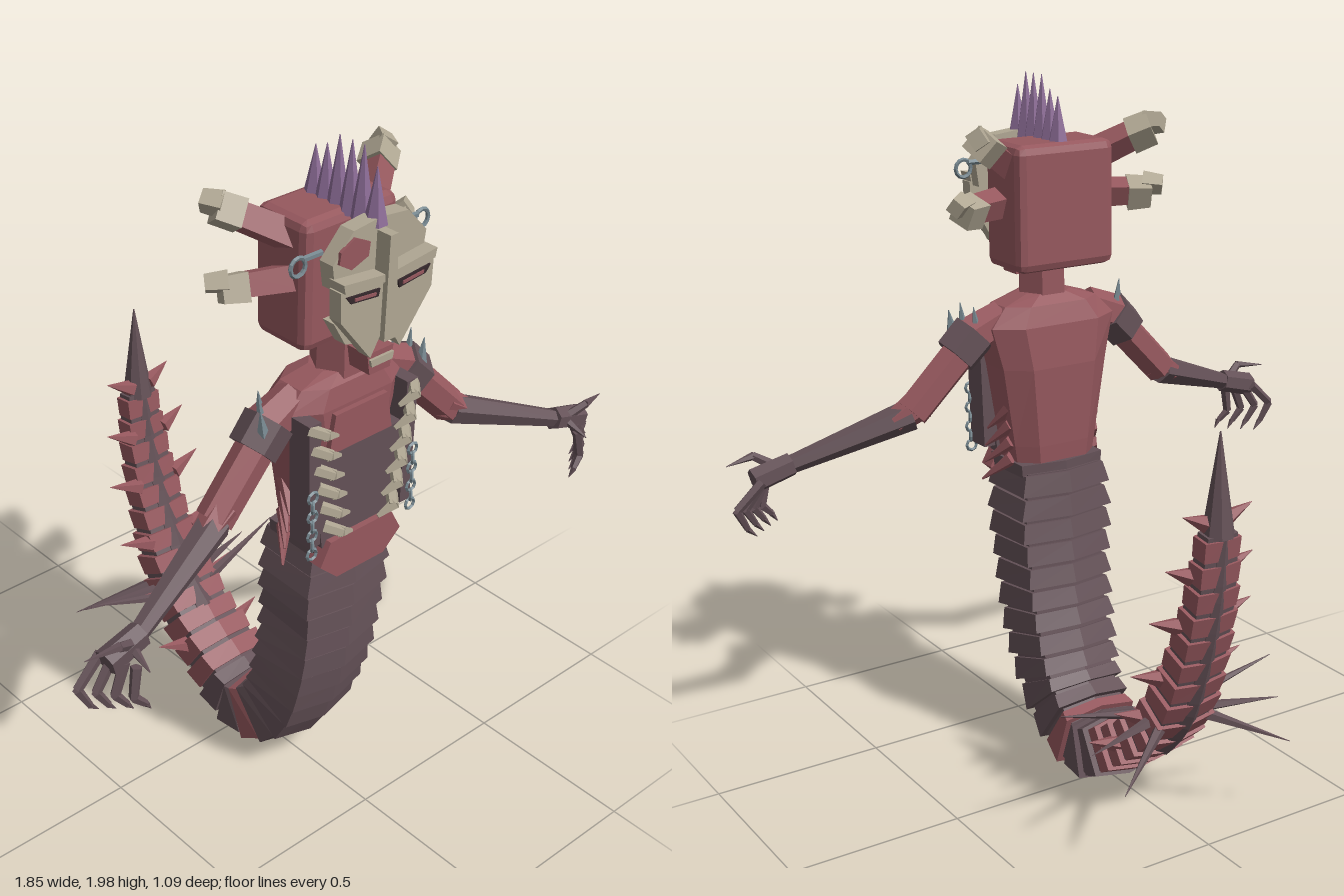
import * as THREE from 'three';
import { RoundedBoxGeometry } from 'three/addons/geometries/RoundedBoxGeometry.js';

const mat = (name, color) => {
  const m = new THREE.MeshStandardMaterial({ color, flatShading: true });
  m.name = name;
  return m;
};
const V = (x, y, z) => new THREE.Vector3(x, y, z);

export function createModel() {
  const root = new THREE.Group();
  const red = mat('dusty red', 0x96585e), dark = mat('dark plum', 0x645157), bone = mat('bone', 0xb0a793);
  const purple = mat('purple', 0x8d6d97), steel = mat('steel', 0x76878f), black = mat('near black', 0x35282c);

  const add = (name, geo, m, parent = root) => {
    const mesh = new THREE.Mesh(geo, m);
    mesh.name = name;
    parent.add(mesh);
    return mesh;
  };
  const group = (name, parent = root) => {
    const g = new THREE.Group();
    g.name = name;
    parent.add(g);
    return g;
  };
  // Tapered bar between two points
  const limb = (name, m, a, b, ra, rb, sides = 6, parent = root) => {
    const dir = b.clone().sub(a);
    const geo = new THREE.CylinderGeometry(rb, ra, dir.length(), sides);
    geo.rotateY(Math.PI / sides);
    const mesh = add(name, geo, m, parent);
    mesh.position.copy(a).add(b).multiplyScalar(0.5);
    mesh.quaternion.setFromUnitVectors(V(0, 1, 0), dir.normalize());
    return mesh;
  };
  // Flat plate from outline points, spanning z0 to z1
  const plate = (name, m, pts, z0, z1, parent = root) => {
    const shape = new THREE.Shape(pts.map(([x, y]) => new THREE.Vector2(x, y)));
    const geo = new THREE.ExtrudeGeometry(shape, { depth: z1 - z0, bevelEnabled: false });
    return add(name, geo.translate(0, 0, z0), m, parent);
  };
  const flip = (pts, s) => pts.map(([x, y]) => [x * s, y]);
  const mirrored = pts => [...pts, ...flip(pts, -1).reverse()];
  // Closed skin over equal-sized rings, each counter-clockwise about the path
  const loft = rings => {
    const n = rings[0].length, idx = [], last = (rings.length - 1) * n;
    for (let r = 0; r < rings.length - 1; r++) {
      for (let i = 0; i < n; i++) {
        const a = r * n + i, b = r * n + (i + 1) % n;
        idx.push(a, b, b + n, a, b + n, a + n);
      }
    }
    for (let i = 1; i < n - 1; i++) idx.push(0, i + 1, i, last, last + i, last + i + 1);
    const geo = new THREE.BufferGeometry().setFromPoints(rings.flat());
    geo.setIndex(idx);
    geo.computeVertexNormals();
    return geo;
  };
  const ring = (c, T, poly) => {
    const D = T.clone().cross(V(1, 0, 0));
    return poly.map(([u, v]) => c.clone().addScaledVector(D, v).add(V(u, 0, 0)));
  };
  const octagon = (w, d) => [[w, -d * 0.5], [w, d * 0.5], [w * 0.6, d], [-w * 0.6, d],
    [-w, d * 0.5], [-w, -d * 0.5], [-w * 0.6, -d], [w * 0.6, -d]];
  const hexagon = (w, d) => [[w, -d * 0.78], [w, d * 0.78], [0, d], [-w, d * 0.78], [-w, -d * 0.78], [0, -d]];

  // Tail: control rows are z, y, half width, half depth
  const tail = group('tail');
  const rows = [[.305, .89, .14, .125], [.295, .65, .14, .125], [.26, .42, .135, .125], [.17, .2, .12, .115],
    [.02, .11, .112, .1], [-.16, .195, .105, .078], [-.33, .345, .095, .068], [-.43, .55, .08, .053],
    [-.488, .75, .068, .042], [-.513, .93, .055, .034]];
  const path = new THREE.CatmullRomCurve3(rows.map(r => V(0, r[1], r[0])));
  const size = new THREE.CatmullRomCurve3(rows.map(r => V(r[2], r[3], 0)));
  const section = (u, kw, kd = kw, poly = hexagon) => {
    const t = path.getUtoTmapping(u), s = size.getPoint(t);
    return ring(path.getPoint(t), path.getTangent(t), poly(s.x * kw, s.y * kd));
  };
  const span = (u0, u1, steps, kw, kd) =>
    loft(Array.from({ length: steps + 1 }, (_, i) => section(u0 + (u1 - u0) * i / steps, kw, kd)));
  add('tailCore', span(0, 1, 40, 0.86, 0.86), dark, tail);
  const count = 27;
  for (let i = 0; i < count; i++) {
    const c = path.getPointAt((i + 0.5) / count);
    const isRed = c.z < -0.1 || (c.y < 0.25 && c.z > 0.04 && c.z < 0.14);
    const geo = loft([section((i + 0.04) / count, 0.93), section((i + 0.84) / count, 1.02)]);
    add('tailSegment', geo, isRed ? red : dark, tail);
  }
  add('tailRidge', span(0.62, 1, 16, 0.3, 1.08), dark, tail);
  limb('tailTip', dark, V(0, .92, -.512), V(0, 1.2, -.515), .045, .002, 8, tail);
  for (const s of [-1, 1]) {
    for (const [z, y, x, tip] of [[-.19, .23, .09, .19], [-.29, .355, .085, .175], [-.375, .5, .075, .18],
      [-.435, .67, .065, .165], [-.47, .82, .055, .14], [-.5, .97, .03, .11]]) {
      limb('tailThorn', red, V(s * x, y - .015, z), V(s * tip, y + .02, z - .01), .026, .001, 5, tail);
    }
    for (const [z, tx, ty, tz] of [[-.28, .35, .42, -.31], [-.33, .31, .335, -.4], [-.37, .275, .25, -.5]]) {
      limb('longTailSpine', dark, V(s * .07, .34, z), V(s * tx, ty, tz), .018, .001, 5, tail);
    }
  }

  // Torso: rows are y, half width, centre z, half depth
  const torso = group('torso');
  const up = V(0, 1, 0);
  add('torsoBody', loft([[.87, .12, .31, .085], [.97, .135, .31, .092], [1.2, .17, .31, .1], [1.32, .2, .315, .095],
    [1.375, .15, .32, .08], [1.4, .07, .325, .055]].map(([y, w, z, d]) => ring(V(0, y, z), up, octagon(w, d)))), red, torso);
  add('waistBand', loft([ring(V(0, .86, .315), up, hexagon(.13, .11)), ring(V(0, .92, .315), up, hexagon(.135, .11))]), dark, torso);
  plate('chestPlate', red, mirrored([[.11, 1.2], [.09, 1.31]]), .39, .425, torso);
  plate('bellyPlate', dark, mirrored([[.125, .92], [.165, 1.2]]), .38, .422, torso);
  plate('groinPlate', red, mirrored([[.085, .82], [.145, .875], [.11, .94]]), .39, .44, torso);
  for (const s of [-1, 1]) {
    plate('sideStrip', dark, flip([[.145, .95], [.18, .95], [.19, 1.32], [.15, 1.32]], s), .36, .435, torso);
    for (let i = 0; i < 6; i++) {
      const x = .17 - i * .012, y = 1.305 - i * .063;
      limb('ribHookBase', bone, V(s * (x + .012), y, .425), V(s * (x - .02), y - .012, .465), .018, .016, 5, torso);
      limb('ribHookTip', bone, V(s * (x - .012), y - .008, .462), V(s * (x - .062), y - .032, .45), .016, .006, 5, torso);
    }
    for (let i = 0; i < 7; i++) {
      const link = add('chainLink', new THREE.TorusGeometry(.016, .005, 4, 8), steel, torso);
      link.position.set(s * .178, 1.11 - i * .029, .44);
      link.rotation.y = i % 2 ? .9 : 0;
    }
    for (let i = 0; i < 4; i++) {
      const y = 1.08 - i * .05;
      limb('sideGill', red, V(s * .135, y, .285), V(s * (.175 + i * .007), y - .07, .35), .022, .003, 5, torso);
    }
  }
  limb('neck', red, V(0, 1.36, .33), V(0, 1.52, .33), .075, .07, 6, torso);

  // Head with four horns and a crest
  const head = group('head');
  add('skull', new RoundedBoxGeometry(.31, .35, .185, 1, .025), red, head).position.set(0, 1.655, .28);
  [[.445, 1.96], [.4, 2], [.36, 2], [.317, 2], [.275, 1.965], [.235, 1.95]].forEach(([z, y]) =>
    limb('crestSpike', purple, V(0, 1.815, z), V(0, y, z), .031, .001, 6, head));
  for (const s of [-1, 1]) {
    limb('upperHorn', red, V(s * .1, 1.75, .31), V(s * .245, 1.835, .21), .048, .042, 4, head);
    limb('upperHornTip', bone, V(s * .225, 1.825, .22), V(s * .275, 1.85, .185), .052, .05, 4, head);
    limb('upperHornKnob', bone, V(s * .265, 1.86, .205), V(s * .295, 1.865, .16), .036, .03, 4, head);
    limb('lowerHorn', red, V(s * .12, 1.665, .31), V(s * .27, 1.665, .25), .046, .04, 4, head);
    limb('lowerHornTip', bone, V(s * .245, 1.66, .262), V(s * .305, 1.66, .235), .052, .046, 4, head);
    limb('lowerHornKnob', bone, V(s * .29, 1.685, .25), V(s * .335, 1.68, .215), .034, .028, 4, head);
    add('earring', new THREE.TorusGeometry(.024, .006, 5, 12), steel, head).position.set(s * .205, 1.75, .4);
    limb('earringPin', steel, V(s * .13, 1.765, .4), V(s * .19, 1.765, .4), .008, .008, 5, head);
  }

  // Floating mask
  const mask = group('mask');
  for (const s of [-1, 1]) {
    plate('maskCheek', bone, flip([[.012, 1.6], [.02, 1.54], [.05, 1.49], [.152, 1.62], [.155, 1.7], [.012, 1.7]], s), .455, .495, mask);
    plate('maskBrow', bone, flip([[0, 1.69], [.145, 1.69], [.155, 1.76], [.09, 1.83], [0, 1.84]], s), .42, .465, mask);
    plate('browRidge', bone, flip([[.02, 1.69], [.15, 1.7], [.155, 1.725], [.02, 1.71]], s), .455, .505, mask);
    plate('eyeSlit', black, flip([[.035, 1.655], [.125, 1.665], [.14, 1.685], [.03, 1.675]], s), .493, .5, mask);
    plate('eye', red, flip([[.045, 1.662], [.115, 1.669], [.115, 1.677], [.045, 1.67]], s), .498, .503, mask);
    plate('jawBack', bone, flip([[.06, 1.52], [.1, 1.53], [.14, 1.6], [.06, 1.6]], s), .42, .458, mask);
  }
  plate('noseRidge', bone, mirrored([[.02, 1.53], [.013, 1.81]]), .45, .51, mask);
  plate('foreheadPatch', red, [[-.14, 1.76], [-.1, 1.735], [-.045, 1.755], [-.04, 1.79], [-.09, 1.815], [-.135, 1.79]], .463, .472, mask);
  plate('chin', red, mirrored([[.035, 1.43], [.045, 1.49]]), .41, .48, mask);
  plate('lip', bone, mirrored([[.035, 1.455], [.04, 1.475]]), .45, .488, mask);

  // Arms and clawed hands
  for (const s of [-1, 1]) {
    const arm = group(s > 0 ? 'leftArm' : 'rightArm');
    const P = (x, y, z) => V(s * x, y, z);
    limb('shoulder', red, P(.14, 1.34, .32), P(.25, 1.29, .325), .05, .06, 6, arm);
    limb('upperArm', red, P(.21, 1.315, .325), P(.42, 1.1, .34), .052, .05, 6, arm);
    limb('armCuff', dark, P(.225, 1.305, .325), P(.285, 1.245, .33), .068, .066, 6, arm);
    limb('elbow', red, P(.39, 1.125, .34), P(.47, 1.075, .355), .048, .036, 6, arm);
    limb('forearm', dark, P(.42, 1.095, .345), P(.77, .97, .455), .045, .024, 6, arm);
    [[.24, 1.385, .3], [.265, 1.395, .33], [.285, 1.37, .36]].forEach(([x, y, z]) =>
      limb('shoulderSpike', steel, P(x - .01, 1.3, z), P(x, y, z), .018, .001, 5, arm));
    limb('palm', dark, P(.74, .98, .45), P(.85, .95, .455), .034, .036, 6, arm);
    for (let i = 0; i < 4; i++) {
      const z = .42 + i * .027, k = P(.84 - i * .015, .955 - i * .006, z);
      const mid = P(.915 - i * .035, .885 - i * .01, z + .005), low = P(.885 - i * .035, .825, z + .012);
      limb('fingerBase', dark, k, mid, .015, .013, 5, arm);
      limb('fingerMiddle', dark, mid, low, .013, .009, 5, arm);
      limb('fingerClaw', dark, low, P(.86 - i * .032, .8, z + .01), .009, .001, 5, arm);
    }
    limb('thumbBase', dark, P(.77, .97, .46), P(.835, 1.01, .49), .016, .012, 5, arm);
    limb('thumbClaw', dark, P(.83, 1.01, .49), P(.92, 1, .47), .012, .001, 5, arm);
    limb('sideClaw', dark, P(.78, .965, .47), P(.785, .94, .54), .014, .002, 5, arm);
  }
  return root;
}
